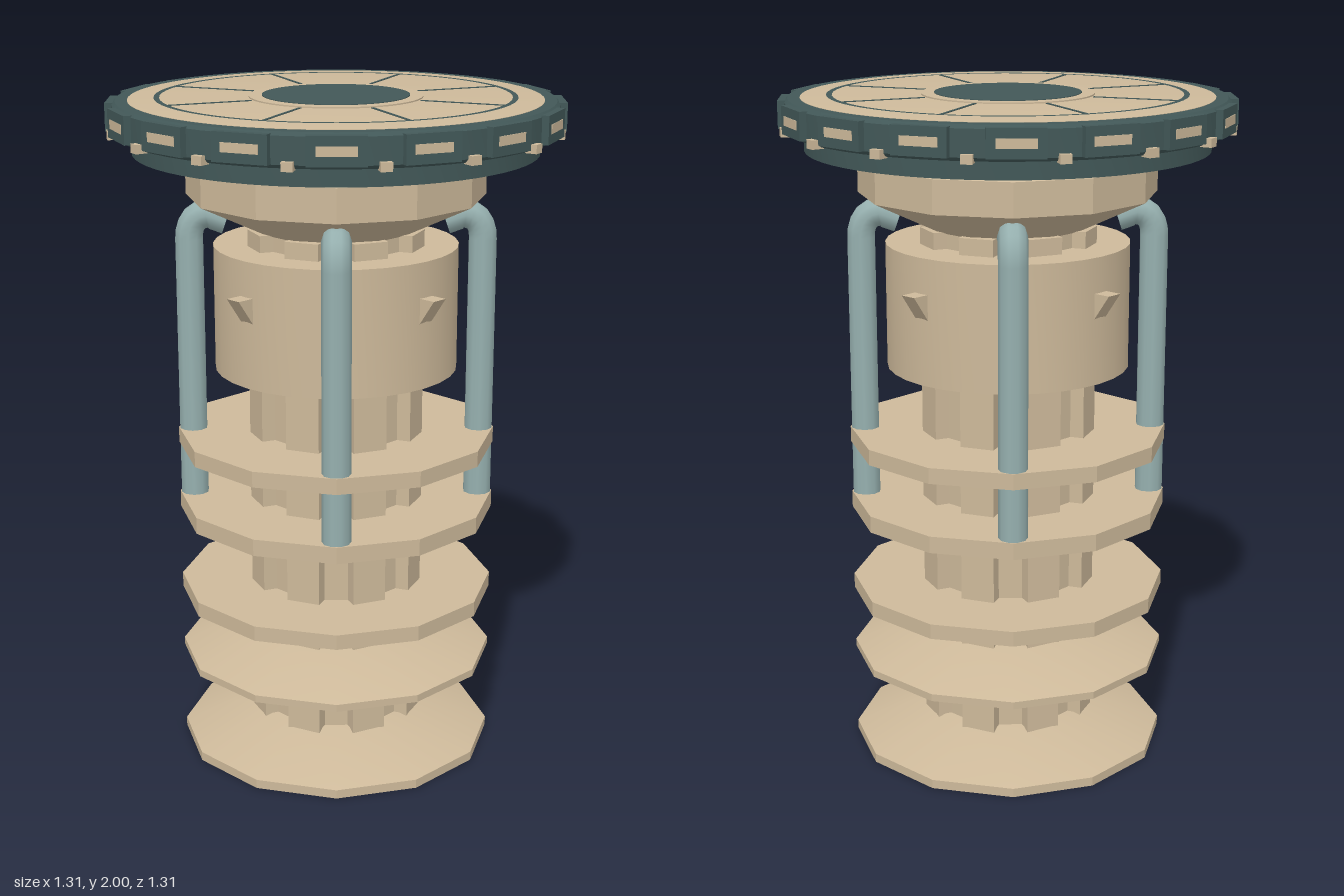
import * as THREE from 'three';
import { toCreasedNormals } from 'three/addons/utils/BufferGeometryUtils.js';

const material = (name, color) => {
  const m = new THREE.MeshStandardMaterial({ color });
  m.name = name;
  return m;
};

export function createModel() {
  const model = new THREE.Group();
  const cream = material('cream', 0xcdb99a);
  const dark = material('dark teal', 0x425858);
  const pale = material('pale teal', 0x96b0af);

  const add = (name, geometry, mat, angle = 0) => {
    const mesh = new THREE.Mesh(geometry, mat);
    mesh.name = name;
    mesh.rotation.y = angle;
    model.add(mesh);
    return mesh;
  };
  // Turned solid from [radius, y] pairs, bottom to top; few sides stay faceted
  const turned = (name, profile, sides, mat) => {
    const points = profile.map(([r, y]) => new THREE.Vector2(r, y));
    return add(name, toCreasedNormals(new THREE.LatheGeometry(points, sides), 0.4), mat);
  };
  // Box pushed out from the axis, then turned around it
  const radialBox = (name, w, h, d, r, y, angle, mat) =>
    add(name, new THREE.BoxGeometry(w, h, d).translate(0, y, r), mat, angle);

  // Ribbed column: gear section extruded upwards
  const gear = new THREE.Shape();
  for (let i = 0; i < 8; i++) {
    const a = Math.PI / 8 + i * Math.PI / 4;
    for (const [r, da] of [[0.222, -0.235], [0.262, -0.198], [0.262, 0.198], [0.222, 0.235]]) {
      const x = r * Math.cos(a + da), y = r * Math.sin(a + da);
      if (i === 0 && r === 0.222 && da < 0) gear.moveTo(x, y);
      else gear.lineTo(x, y);
    }
  }
  gear.closePath();
  add('ribbedColumn', new THREE.ExtrudeGeometry(gear, { depth: 1.597, bevelEnabled: false })
    .rotateX(-Math.PI / 2).translate(0, 0.02, 0), cream);

  // Base and skirt with sloped tops
  for (const [name, y, rim, top] of [['baseFoot', 0, 0.027, 0.11], ['slopedFlange', 0.283, 0.305, 0.387]]) {
    turned(name, [[0, y], [0.475, y], [0.475, rim], [0.245, top], [0, top]], 12, cream);
  }
  // Flat flanges
  for (const [y0, y1] of [[0.48, 0.525], [0.745, 0.795], [0.953, 1.0]]) {
    turned('flatFlange', [[0, y0], [0.475, y0], [0.475, y1], [0, y1]], 12, cream);
  }

  // Drum with four wedge lugs
  turned('drum', [[0, 1.197], [0.36, 1.197], [0.36, 1.568], [0, 1.568]], 32, cream);
  const wedge = new THREE.Shape([[0.33, 1.39], [0.357, 1.39], [0.41, 1.465], [0.33, 1.465]]
    .map(([x, y]) => new THREE.Vector2(x, y)));
  for (let i = 0; i < 4; i++) {
    add('drumLug', new THREE.ExtrudeGeometry(wedge, { depth: 0.05, bevelEnabled: false })
      .translate(0, 0, -0.025), cream, Math.PI / 4 + i * Math.PI / 2);
  }

  // Collar under the cap
  turned('collar', [[0, 1.61], [0.225, 1.61], [0.437, 1.712], [0.437, 1.81], [0.38, 1.845], [0, 1.845]], 12, cream);

  // Four bent pipes
  const bend = new THREE.CurvePath();
  const v = (x, y) => new THREE.Vector3(x, y, 0);
  bend.add(new THREE.LineCurve3(v(0.43, 0.78), v(0.43, 1.59)));
  bend.add(new THREE.QuadraticBezierCurve3(v(0.43, 1.59), v(0.425, 1.65), v(0.375, 1.654)));
  bend.add(new THREE.LineCurve3(v(0.375, 1.654), v(0.32, 1.635)));
  for (let i = 0; i < 4; i++) {
    add('pipe', new THREE.TubeGeometry(bend, 48, 0.042, 10), pale, i * Math.PI / 2);
  }

  // Cap: stepped dark rim and cream top plate
  turned('capRim', [[0, 1.84], [0.587, 1.84], [0.587, 1.89], [0.63, 1.895], [0.64, 1.905],
    [0.64, 1.98], [0.63, 1.99], [0, 1.99]], 64, dark);
  turned('topPlate', [[0.595, 1.988], [0.595, 1.991], [0.576, 1.994], [0, 1.994]], 64, cream);
  turned('hubPlate', [[0.25, 1.99], [0.25, 1.998], [0, 1.998]], 48, cream);
  turned('hubDisc', [[0.212, 1.995], [0.212, 2.0], [0, 2.0]], 48, dark);

  // Inlaid ring and spokes
  add('inlayRing', new THREE.RingGeometry(0.504, 0.52, 64).rotateX(-Math.PI / 2).translate(0, 1.996, 0), dark);
  for (let i = 0; i < 8; i++) {
    radialBox('inlaySpoke', 0.009, 0.004, 0.25, 0.383, 1.994, Math.PI / 8 + i * Math.PI / 4, dark);
  }

  // Rim panels with light slots, and small studs between them
  for (let i = 0; i < 16; i++) {
    const a = i * Math.PI / 8;
    radialBox('rimPanel', 0.158, 0.08, 0.035, 0.637, 1.945, a, dark);
    radialBox('rimSlot', 0.108, 0.026, 0.006, 0.6535, 1.945, a, cream);
    radialBox('rimStud', 0.032, 0.025, 0.035, 0.639, 1.903, a + Math.PI / 16, cream);
  }
  return model;
}
